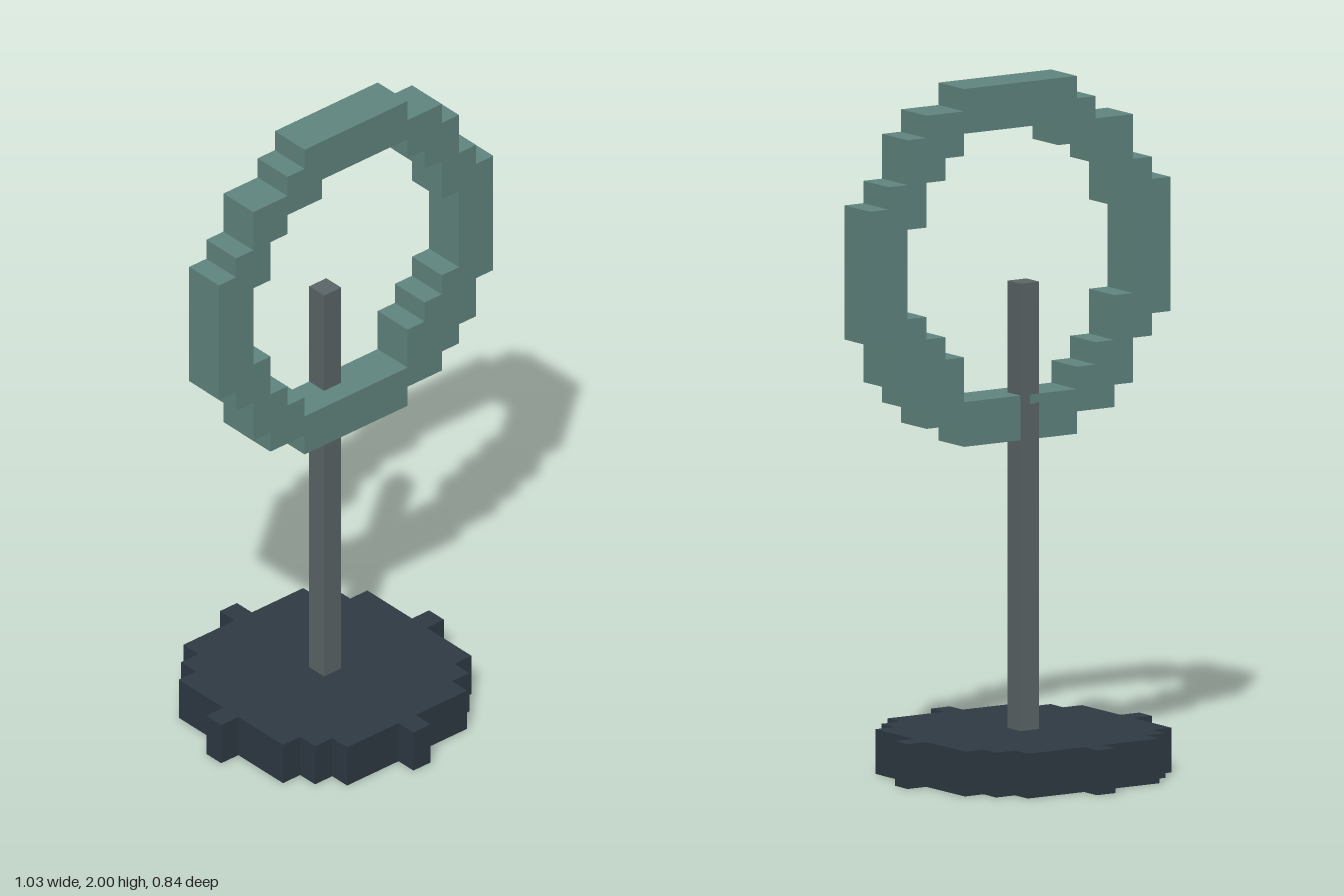
import * as THREE from 'three';

const U = 2 / 31; // one voxel

// Stepped outline from row spans [left, right, rowCount], starting at row y0 and going up
function stepped(PathType, y0, spans) {
  const left = [], right = [];
  let y = y0;
  for (const [l, r, n] of spans) {
    left.push([l, y], [l, y + n]);
    right.push([r, y], [r, y + n]);
    y += n;
  }
  const pts = [...right, ...left.reverse()];
  return new PathType(pts.map(([px, py]) => new THREE.Vector2(px * U, py * U)));
}

function part(name, geometry, color) {
  const mesh = new THREE.Mesh(geometry, new THREE.MeshStandardMaterial({ color, flatShading: true }));
  mesh.name = name;
  return mesh;
}

const extrude = (shape, voxels) =>
  new THREE.ExtrudeGeometry(shape, { depth: voxels * U, bevelEnabled: false });

export function createModel() {
  const model = new THREE.Group();
  model.name = 'ringStand';

  // Base: pixel disc, two voxels thick
  const half = [[-1, 0, 1], [-4, 3, 1], [-5, 4, 1], [-6, 5, 3]];
  const disc = stepped(THREE.Shape, -6.5, [...half, [-7, 6, 1], ...half.slice().reverse()]);
  const base = part('base', extrude(disc, 2).rotateX(-Math.PI / 2), 0x2f3a44);
  model.add(base);

  // Post: one voxel wide, running up through the ring
  const post = part('post', new THREE.BoxGeometry(U, 20 * U, U), 0x5c6668);
  post.position.set(-0.5 * U, 12 * U, 0);
  model.add(post);

  // Ring: pixel circle with a stepped opening
  const outline = stepped(THREE.Shape, 15, [
    [-3, 3, 1], [-5, 5, 1], [-6, 6, 1], [-6, 7, 1], [-7, 7, 1], [-8, 8, 6],
    [-7, 7, 1], [-6, 6, 2], [-4, 5, 1], [-3, 3, 1],
  ]);
  outline.holes.push(stepped(THREE.Path, 17, [
    [-3, 3, 1], [-4, 3, 1], [-5, 4, 1], [-5, 5, 1], [-6, 6, 4],
    [-5, 5, 2], [-4, 4, 1], [-2, 3, 1],
  ]));
  const ring = part('ring', extrude(outline, 2), 0x628680);
  ring.position.z = -0.5 * U;
  model.add(ring);

  return model;
}
